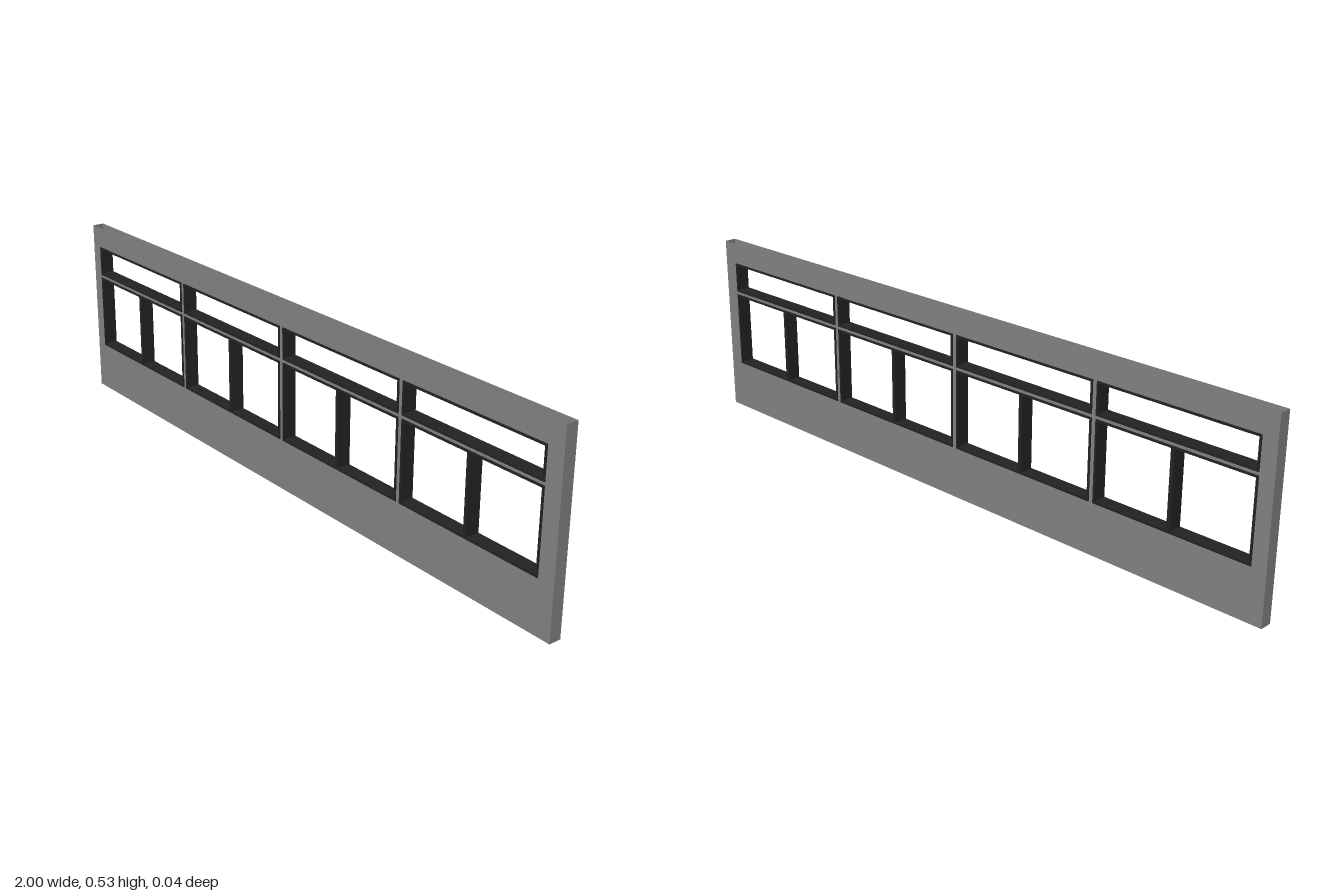
import * as THREE from 'three';

const HEIGHT = 0.534, HALF_DEPTH = 0.0175, FRAME_DEPTH = 0.04;
const BAY_PITCH = 0.481, BAY_WIDTH = 0.468, FIRST_BAY = -0.959, BORDER = 0.006;
const LOWER = [0.147, 0.373], UPPER = [0.382, 0.472];

const rectangle = (Type, x0, y0, x1, y1) => new Type([
  new THREE.Vector2(x0, y0), new THREE.Vector2(x1, y0),
  new THREE.Vector2(x1, y1), new THREE.Vector2(x0, y1),
]);

// Window frame with one or more panes side by side
function frameGeometry(x0, [y0, y1], panes) {
  const shape = rectangle(THREE.Shape, x0, y0, x0 + BAY_WIDTH, y1);
  const bar = 0.011;
  const paneWidth = (BAY_WIDTH - 2 * BORDER - (panes - 1) * bar) / panes;
  for (let i = 0; i < panes; i++) {
    const px = x0 + BORDER + i * (paneWidth + bar);
    shape.holes.push(rectangle(THREE.Path, px, y0 + BORDER, px + paneWidth, y1 - BORDER));
  }
  const geometry = new THREE.ExtrudeGeometry(shape, { depth: FRAME_DEPTH, bevelEnabled: false });
  return geometry.translate(0, 0, -FRAME_DEPTH / 2);
}

export function createModel() {
  const model = new THREE.Group();
  model.name = 'windowWall';
  const wallMaterial = new THREE.MeshStandardMaterial({ color: 0x808080, side: THREE.DoubleSide });
  const frameMaterial = new THREE.MeshStandardMaterial({ color: 0x222222 });
  const add = (name, geometry, material) => {
    const mesh = new THREE.Mesh(geometry, material);
    mesh.name = name;
    model.add(mesh);
    return mesh;
  };

  // Four bays, each with a wide transom over a pair of panes
  const wall = rectangle(THREE.Shape, -1, 0, 1, HEIGHT);
  for (let i = 0; i < 4; i++) {
    const x = FIRST_BAY + i * BAY_PITCH;
    for (const [name, span, panes] of [['lowerFrame', LOWER, 2], ['transomFrame', UPPER, 1]]) {
      wall.holes.push(rectangle(THREE.Path, x, span[0], x + BAY_WIDTH, span[1]));
      add(name + (i + 1), frameGeometry(x, span, panes), frameMaterial);
    }
  }

  // Hollow wall: two skins and two end caps, open at top and bottom
  const skin = new THREE.ShapeGeometry(wall);
  add('frontSkin', skin, wallMaterial).position.z = HALF_DEPTH;
  add('backSkin', skin, wallMaterial).position.z = -HALF_DEPTH;
  for (const side of [-1, 1]) {
    const end = add(side > 0 ? 'leftEnd' : 'rightEnd',
      new THREE.PlaneGeometry(2 * HALF_DEPTH, HEIGHT), wallMaterial);
    end.position.set(side, HEIGHT / 2, 0);
    end.rotation.y = side * Math.PI / 2;
  }
  return model;
}
